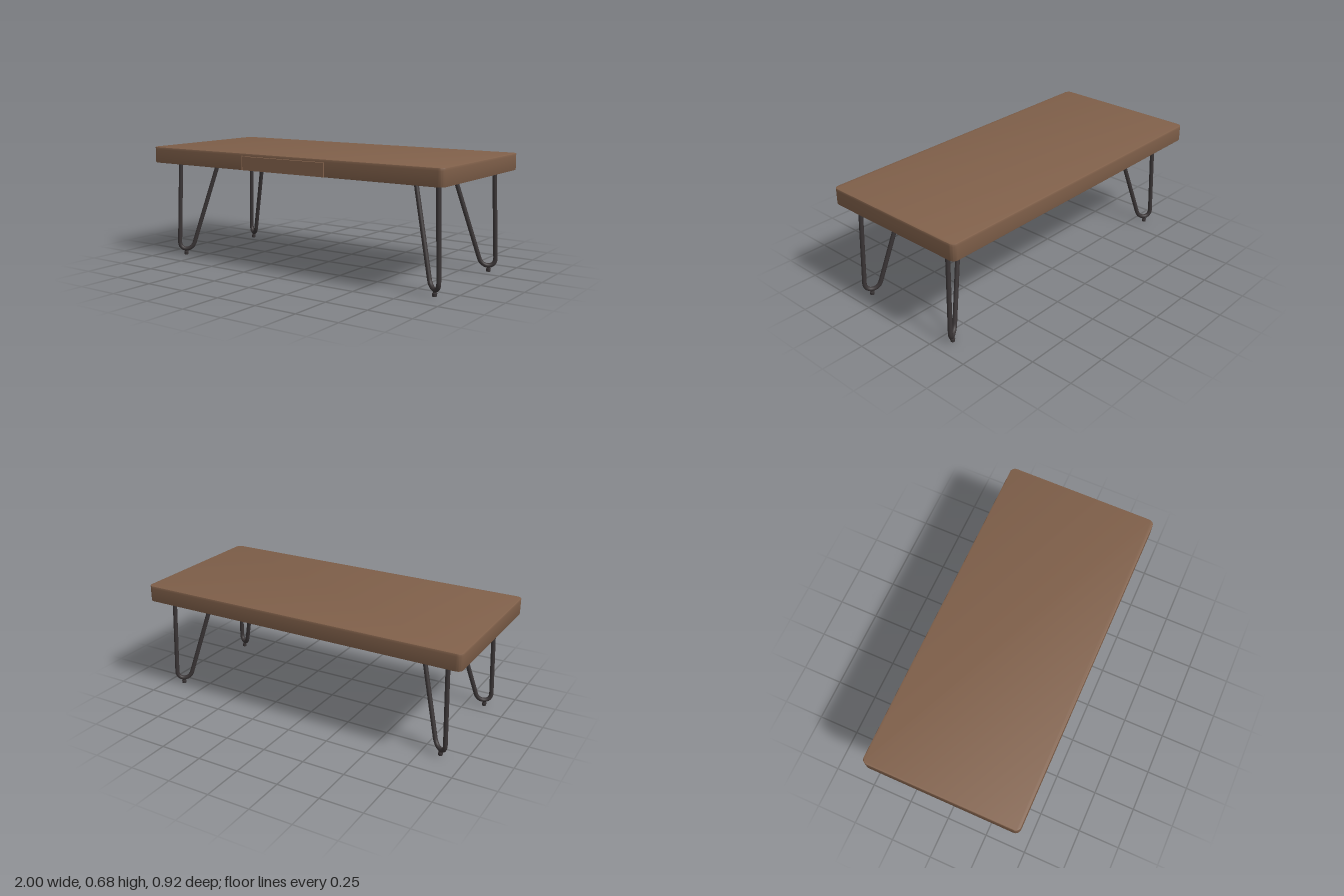
import * as THREE from 'three';
import { toCreasedNormals } from 'three/addons/utils/BufferGeometryUtils.js';

const W = 0.998, D = 0.461;            // half width and half depth of the top
const BOTTOM = 0.585, TOP = 0.682;     // height range of the top
const NOTCH = { x: 0.288, depth: 0.02, y: 0.668 };

// Rounded-rectangle outline, counter-clockwise, optionally notched at the front
function outline(inset, notched) {
  const pts = [], r = 0.032, x = W - r, y = D - r, n = 8;
  [[x, -y, -0.5], [x, y, 0], [-x, y, 0.5], [-x, -y, 1]].forEach(([cx, cy, a]) => {
    for (let i = 0; i <= n; i++) {
      const t = (a + (0.5 * i) / n) * Math.PI;
      pts.push(new THREE.Vector2(cx + (r - inset) * Math.cos(t), cy + (r - inset) * Math.sin(t)));
    }
  });
  if (notched) {
    const f = -D + inset, b = -D + NOTCH.depth;
    [[-NOTCH.x, f], [-NOTCH.x, b], [NOTCH.x, b], [NOTCH.x, f]].forEach(p => pts.push(new THREE.Vector2(...p)));
  }
  return pts;
}

// Stack of outlines given as [inset, height], closed at both ends
function slab(rows, notched) {
  const rings = rows.map(([inset, y]) => outline(inset, notched).map(p => [p.x, y, -p.y]));
  const pos = [], tri = (...v) => v.forEach(p => pos.push(...p));
  for (let k = 0; k < rings.length - 1; k++) {
    const lo = rings[k], hi = rings[k + 1];
    lo.forEach((a, i) => {
      const j = (i + 1) % lo.length;
      tri(a, lo[j], hi[j], a, hi[j], hi[i]);
    });
  }
  const first = rings[0], last = rings[rings.length - 1];
  THREE.ShapeUtils.triangulateShape(outline(rows[0][0], notched), [])
    .forEach(([a, b, c]) => tri(first[c], first[b], first[a]));
  THREE.ShapeUtils.triangulateShape(outline(rows[rows.length - 1][0], notched), [])
    .forEach(([a, b, c]) => tri(last[a], last[b], last[c]));
  const g = new THREE.BufferGeometry();
  g.setAttribute('position', new THREE.Float32BufferAttribute(pos, 3));
  return toCreasedNormals(g, 0.6);
}

export function createModel() {
  const model = new THREE.Group();
  model.name = 'coffeeTable';
  const wood = new THREE.MeshStandardMaterial({ color: 0x80604a });
  wood.name = 'walnut wood';
  const metal = new THREE.MeshStandardMaterial({ color: 0x3a3536 });
  metal.name = 'dark metal';
  const add = (parent, name, geometry, material, x = 0, y = 0, z = 0) => {
    const mesh = new THREE.Mesh(geometry, material);
    mesh.name = name;
    mesh.position.set(x, y, z);
    parent.add(mesh);
  };

  // Table top: notched lower layer and a solid upper layer with eased edges
  const e = 0.004;
  add(model, 'tableBody', slab([[e, BOTTOM], [e * 0.3, BOTTOM + e * 0.3], [0, BOTTOM + e], [0, NOTCH.y]], true), wood);
  add(model, 'tableTop', slab([[0, NOTCH.y], [0, TOP - e], [e * 0.3, TOP - e * 0.3], [e, TOP]], false), wood);

  // Drawer front sitting flush in the notch with a narrow gap around it
  const h = 0.663 - BOTTOM;
  add(model, 'drawerFront', new THREE.BoxGeometry(0.565, h, 0.02), wood, 0, BOTTOM + h / 2, D - 0.0105);

  // Hairpin legs lie in vertical planes that point toward the middle
  for (const sx of [-1, 1]) for (const sz of [-1, 1]) {
    const at = (x, y) => new THREE.Vector3(sx * x + 0.02, y, sz * (0.34 + (x - 0.895) * 0.61) + 0.01);
    const leg = new THREE.Group();
    leg.name = (sz > 0 ? 'front' : 'back') + (sx > 0 ? 'Left' : 'Right') + 'Leg';
    const path = new THREE.CurvePath();
    path.add(new THREE.LineCurve3(at(0.895, 0.592), at(0.913, 0.08)));
    path.add(new THREE.CubicBezierCurve3(at(0.913, 0.08), at(0.914, 0.02), at(0.849, 0.02), at(0.833, 0.08)));
    path.add(new THREE.LineCurve3(at(0.833, 0.08), at(0.693, 0.592)));
    add(leg, 'hairpinRod', new THREE.TubeGeometry(path, 120, 0.0128, 14, false), metal);
    const foot = at(0.88, 0);
    add(leg, 'footStud', new THREE.CylinderGeometry(0.008, 0.008, 0.02, 14), metal, foot.x, 0.022, foot.z);
    add(leg, 'footPad', new THREE.CylinderGeometry(0.014, 0.012, 0.017, 18), metal, foot.x, 0.0085, foot.z);
    model.add(leg);
  }
  return model;
}
